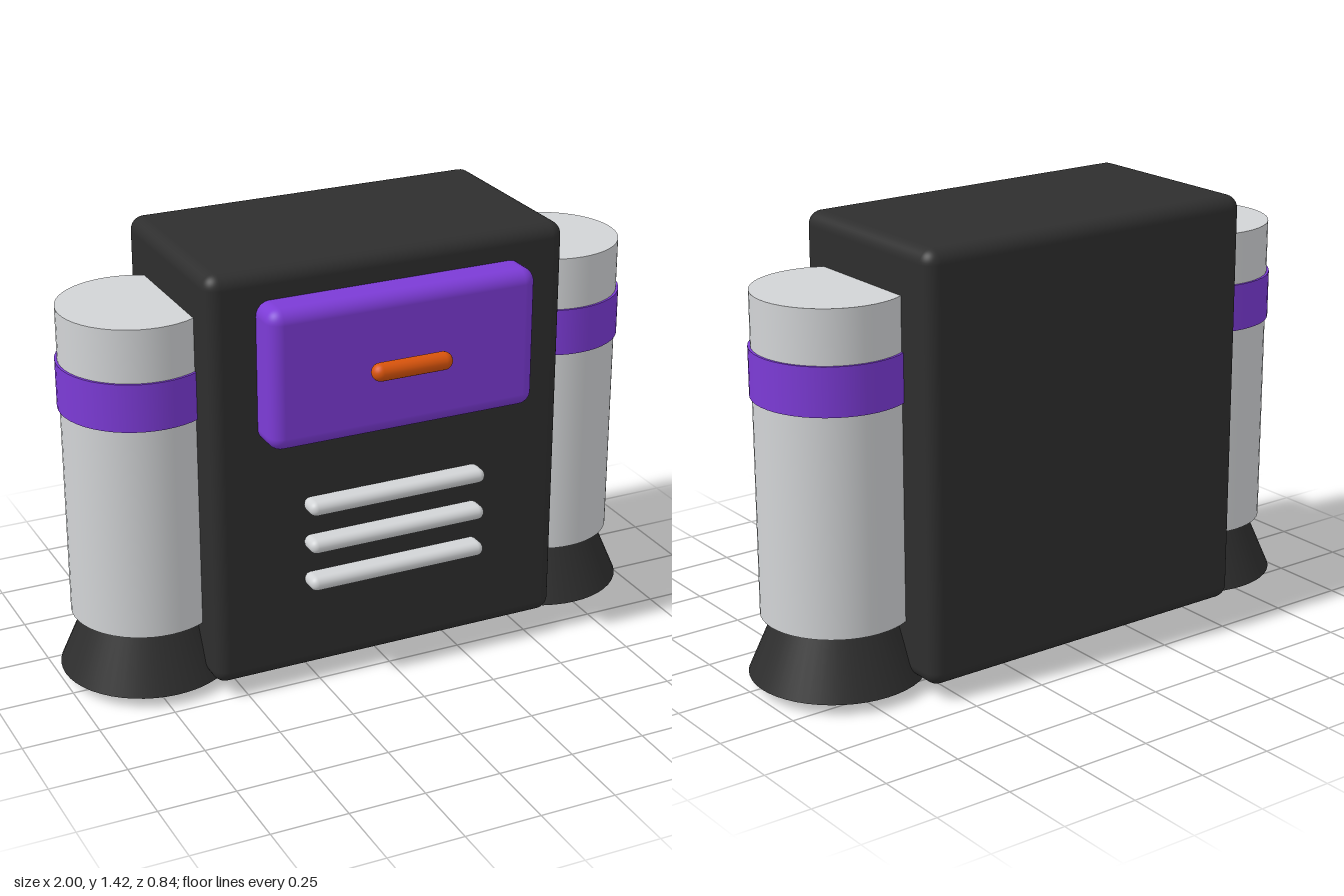
import * as THREE from 'three';
import { RoundedBoxGeometry } from 'three/addons/geometries/RoundedBoxGeometry.js';

function material(name, color) {
  const m = new THREE.MeshStandardMaterial({ color });
  m.name = name;
  return m;
}

export function createModel() {
  const charcoal = material('charcoal', 0x2e2e2e);
  const silver = material('silver', 0xd2d4d6);
  const purple = material('purple', 0x7c3bd6);
  const orange = material('orange', 0xd9540b);

  const model = new THREE.Group();
  model.name = 'jetpack';

  function add(parent, name, geometry, mat, x, y, z) {
    const mesh = new THREE.Mesh(geometry, mat);
    mesh.name = name;
    mesh.position.set(x, y, z);
    parent.add(mesh);
    return mesh;
  }

  // Cylinder or cone frustum standing between two heights
  function drum(parent, name, mat, rTop, rBottom, y0, y1) {
    const geometry = new THREE.CylinderGeometry(rTop, rBottom, y1 - y0, 48);
    return add(parent, name, geometry, mat, 0, (y0 + y1) / 2, 0);
  }

  // Main pack
  add(model, 'body', new RoundedBoxGeometry(1.21, 1.37, 0.67, 5, 0.045), charcoal, 0, 0.735, -0.085);

  // Front pocket and its handle
  add(model, 'frontPanel', new RoundedBoxGeometry(0.9, 0.455, 0.16, 5, 0.045), purple, 0, 1.0975, 0.28);
  const handle = new THREE.CapsuleGeometry(0.029, 0.212, 8, 20).rotateZ(Math.PI / 2);
  add(model, 'handle', handle, orange, 0, 1.094, 0.392);

  // Vent slats
  const slat = new RoundedBoxGeometry(0.61, 0.048, 0.08, 5, 0.0235);
  for (const y of [0.636, 0.506, 0.376]) add(model, 'ventSlat', slat, silver, 0, y, 0.285);

  // Thrusters, one on each side
  for (const side of [1, -1]) {
    const thruster = new THREE.Group();
    thruster.name = side > 0 ? 'leftThruster' : 'rightThruster';
    thruster.position.set(side * 0.72, 0, -0.07);
    drum(thruster, 'tank', silver, 0.238, 0.238, 0.23, 1.262);
    drum(thruster, 'tankBand', purple, 0.246, 0.246, 0.935, 1.09);
    drum(thruster, 'nozzle', charcoal, 0.194, 0.279, 0.035, 0.232);
    drum(thruster, 'nozzleGlow', orange, 0.186, 0.186, 0, 0.05);
    model.add(thruster);
  }

  return model;
}
